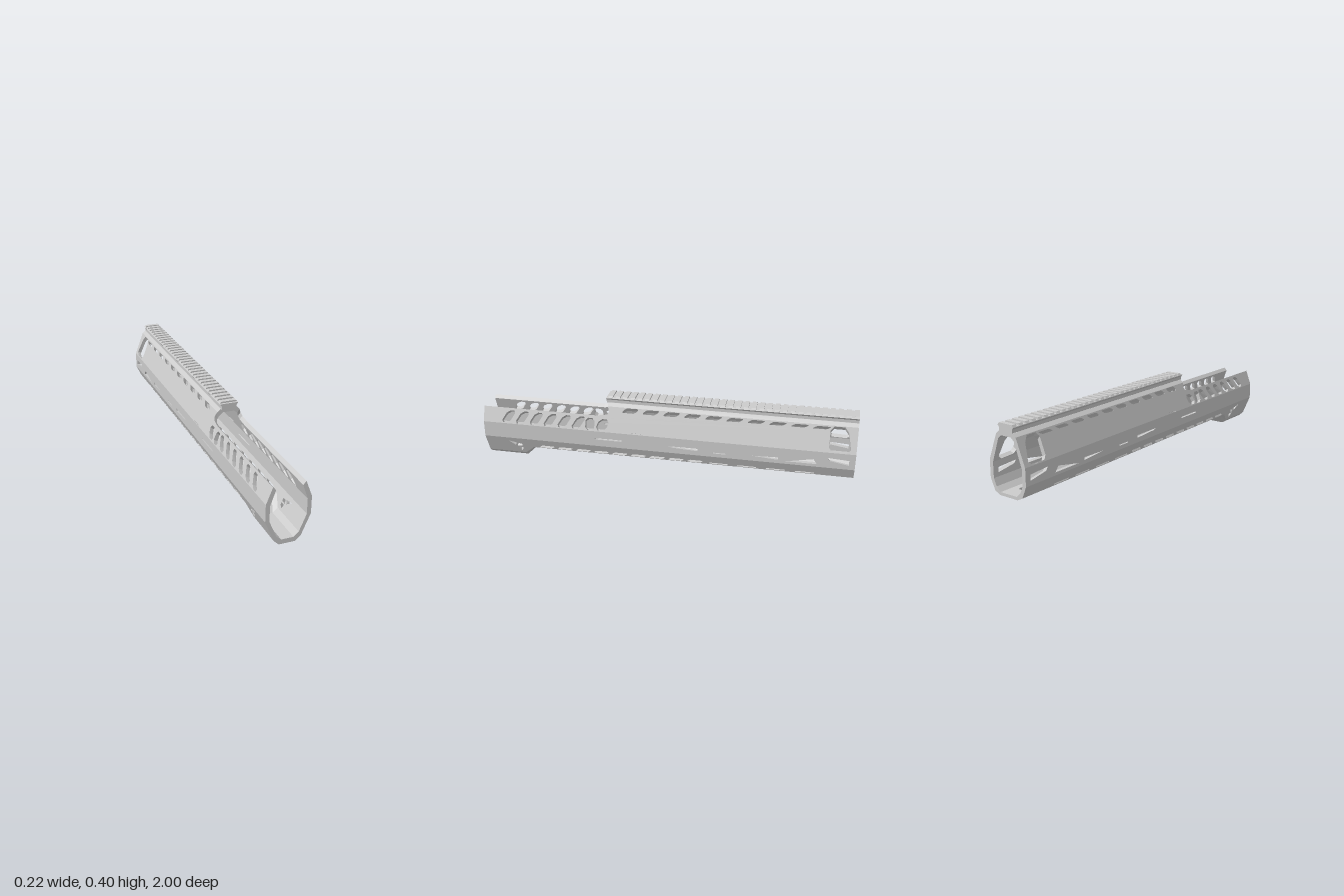
import * as THREE from 'three';

const material = new THREE.MeshStandardMaterial({ color: 0xcccccc, flatShading: true });

// Half cross-sections from floor to top edge: [x, y]
const upperOuter = [[0.11, 0.128], [0.11, 0.215], [0.06, 0.345], [0.042, 0.36]];
const upperInner = [[0.09, 0.128], [0.09, 0.205], [0.048, 0.325], [0.03, 0.34]];
const shallow = {
  outer: [[0.055, 0.055], [0.085, 0.07], ...upperOuter],
  inner: [[0.05, 0.07], [0.074, 0.092], ...upperInner],
};
const deep = {
  outer: [[0.04, 0], [0.065, 0.022], ...upperOuter],
  inner: [[0.03, 0.023], [0.055, 0.045], ...upperInner],
};

const mix = (a, b, t) => a + (b - a) * t;
const mix2 = (p, q, t) => [mix(p[0], q[0], t), mix(p[1], q[1], t)];

// Corners of section strip k; strip -1 is the floor, strip 5 the roof
function strip(section, k) {
  const pair = (pts) => {
    if (k === -1) return [[-pts[0][0], pts[0][1]], pts[0]];
    if (k === 5) return [pts[5], [-pts[5][0], pts[5][1]]];
    return [pts[k], pts[k + 1]];
  };
  return { outer: pair(section.outer), inner: pair(section.inner) };
}

// Long slot with chamfered corners, optionally leaning along z as it rises
function slot(z, v, length, height, lean = 0) {
  const a = length / 2, b = height / 2, c = Math.min(a, b) * 0.55;
  return [[-a + c, -b], [a - c, -b], [a, -b + c], [a, b - c], [a - c, b], [-a + c, b], [-a, b - c], [-a, -b + c]]
    .map(([dz, dv]) => [z + dz + lean * dv / b, v + dv]);
}

// A wall plate with mitred edges: flat outline in (z, t), bent onto the section strip
function panel(group, name, k, zone, { holes = [], outline, mirror = false } = {}) {
  const [zA, zB, secA, secB] = zone;
  const A = strip(secA, k), B = strip(secB, k);
  const axis = k === -1 || k === 5 ? 0 : 1;
  const v0 = A.outer[0][axis], v1 = A.outer[1][axis];
  const toT = (loop) => loop.map(([z, v]) => new THREE.Vector2(z, (v - v0) / (v1 - v0)));
  const shape = new THREE.Shape(toT(outline ?? [[zA, v0], [zB, v0], [zB, v1], [zA, v1]]));
  shape.holes = holes.map((h) => new THREE.Path(toT(h)));
  let geo = new THREE.ExtrudeGeometry(shape, { depth: 1, bevelEnabled: false });
  if (geo.index) geo = geo.toNonIndexed();
  geo.deleteAttribute('uv');
  const pos = geo.attributes.position;
  for (let i = 0; i < pos.count; i++) {
    const z = pos.getX(i), t = pos.getY(i), d = pos.getZ(i), s = (z - zA) / (zB - zA);
    const outer = mix2(mix2(...A.outer, t), mix2(...B.outer, t), s);
    const inner = mix2(mix2(...A.inner, t), mix2(...B.inner, t), s);
    const [x, y] = mix2(outer, inner, d);
    pos.setXYZ(i, x, y, z);
  }
  geo.computeVertexNormals();
  add(group, name, geo);
  if (!mirror) return;
  // Mirrored copy with reversed triangle order
  const twin = geo.clone(), p = twin.attributes.position;
  for (let i = 0; i < p.count; i += 3) {
    [0, 2, 1].forEach((j, n) =>
      p.setXYZ(i + n, -pos.getX(i + j), pos.getY(i + j), pos.getZ(i + j)));
  }
  twin.computeVertexNormals();
  add(group, name + 'Right', twin);
}

function add(group, name, geo) {
  const mesh = new THREE.Mesh(geo, material);
  mesh.name = name;
  group.add(mesh);
}

// Symmetric profile extruded along z
function bar(group, name, half, z0, z1) {
  const left = half.map(([x, y]) => [-x, y]).reverse();
  const shape = new THREE.Shape([...half, ...left].map(([x, y]) => new THREE.Vector2(x, y)));
  const geo = new THREE.ExtrudeGeometry(shape, { depth: z1 - z0, bevelEnabled: false });
  add(group, name, geo.translate(0, 0, z0));
}

export function createModel() {
  const root = new THREE.Group();
  root.name = 'handguard';
  const body = new THREE.Group();
  body.name = 'body';
  root.add(body);

  const rear = [-1, 0.73, shallow, shallow];
  const ramp = [0.73, 0.785, shallow, deep];
  const front = [0.785, 1, deep, deep];
  const whole = [-1, 1, shallow, shallow];
  const covered = [-1, 0.305, shallow, shallow];

  // Floor with a row of slots, ramping down to the deeper front
  const floorHoles = [0.49, 0.29, 0.09, -0.11, -0.31, -0.51, -0.7].map((z) => slot(z, 0, 0.15, 0.038));
  floorHoles.push(slot(0.67, 0, 0.09, 0.038), slot(-0.875, 0, 0.1, 0.038));
  panel(body, 'rearFloor', -1, rear, { holes: floorHoles });
  panel(body, 'floorRamp', -1, ramp);
  panel(body, 'frontFloor', -1, front);

  // Lower chamfers
  panel(body, 'rearChamfer', 0, rear, { mirror: true });
  panel(body, 'rampChamfer', 0, ramp, { mirror: true });
  panel(body, 'frontChamfer', 0, front, { mirror: true });

  // Lower sloping walls with vents
  const lowHoles = [];
  for (let i = 0; i < 9; i++) lowHoles.push(slot(0.65 - i * 0.103, 0.081, 0.075, 0.016, -0.008));
  for (let i = 0; i < 4; i++) lowHoles.push(slot(-0.3 - i * 0.15, 0.078, 0.1, 0.008));
  panel(body, 'rearLowerWall', 1, rear, { holes: lowHoles, mirror: true });
  panel(body, 'rampLowerWall', 1, ramp, { mirror: true });
  panel(body, 'frontLowerWall', 1, front, {
    holes: [
      [[0.87, 0.105], [0.835, 0.075], [0.825, 0.095]],
      [[0.815, 0.092], [0.825, 0.07], [0.795, 0.072], [0.795, 0.088]],
      [[0.825, 0.062], [0.81, 0.035], [0.795, 0.05], [0.795, 0.062]],
    ],
    mirror: true,
  });

  // Upright side walls with narrow slits and tapering vents
  panel(body, 'sideWall', 2, whole, {
    holes: [
      slot(0.295, 0.17, 0.15, 0.008),
      [[-0.03, 0.167], [-0.05, 0.16], [-0.19, 0.153], [-0.19, 0.167]],
      slot(-0.305, 0.151, 0.07, 0.005),
      [[-0.47, 0.157], [-0.61, 0.147], [-0.61, 0.161]],
      [[-0.65, 0.143], [-0.81, 0.143], [-0.79, 0.17]],
      [[-0.86, 0.185], [-0.87, 0.168], [-0.97, 0.15], [-0.97, 0.178]],
    ],
    mirror: true,
  });

  // Upper sloping walls, cut low at the front
  const highHoles = [];
  for (let i = 0; i < 6; i++) highHoles.push(slot(0.857 - i * 0.079, 0.251, 0.048, 0.064, -0.02));
  highHoles.push(slot(0.397, 0.249, 0.05, 0.062), slot(0.328, 0.25, 0.058, 0.058, -0.01));
  for (let i = 0; i < 10; i++) {
    highHoles.push(slot(0.18 - i * 0.111, 0.331, 0.072, 0.024 - i * 0.0012, -0.012));
  }
  highHoles.push(slot(0.135, 0.2195, 0.06, 0.004));
  highHoles.push([[-0.875, 0.222], [-0.95, 0.218], [-0.972, 0.235], [-0.955, 0.315],
    [-0.935, 0.341], [-0.88, 0.341], [-0.862, 0.32], [-0.862, 0.24]]);
  panel(body, 'upperWall', 3, whole, {
    outline: [[-1, 0.215], [1, 0.215], [1, 0.295], [0.36, 0.295], [0.305, 0.304], [0.295, 0.32], [0.305, 0.345], [-1, 0.345]],
    holes: highHoles,
    mirror: true,
  });

  // Roof over the rear
  panel(body, 'roofChamfer', 4, covered, { mirror: true });
  panel(body, 'roof', 5, covered);

  // Accessory rail with cross grooves
  const rail = new THREE.Group();
  rail.name = 'topRail';
  root.add(rail);
  bar(rail, 'railBase', [[0.04, 0.358], [0.04, 0.376], [0.048, 0.386], [0.046, 0.389]], -1, 0.315);
  for (let i = 0; i < 33; i++) {
    const z = -1 + i * 0.04;
    bar(rail, 'railTooth', [[0.046, 0.3885], [0.04, 0.397]], z, z + 0.024);
  }
  return root;
}
